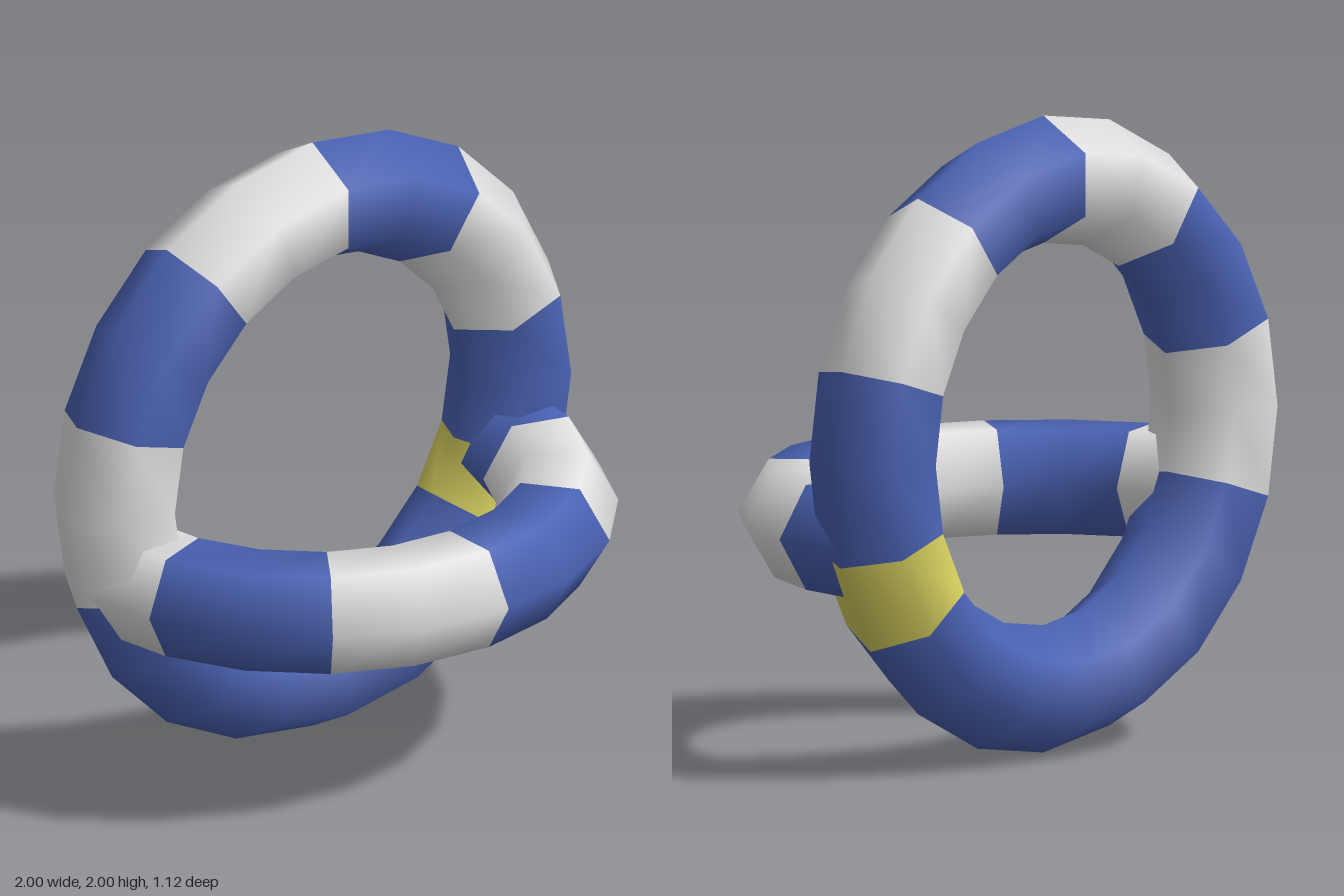
import * as THREE from 'three';

const blue = new THREE.MeshStandardMaterial({ name: 'blue', color: 0x4b63b5 });
const white = new THREE.MeshStandardMaterial({ name: 'white', color: 0xe2e2e2 });
const yellow = new THREE.MeshStandardMaterial({ name: 'yellow', color: 0xd9d260 });

const STEP = 18; // degrees per ring segment

// One coloured stretch of a hexagonal tube, from one angle to another
function band(name, from, to, material) {
  const arc = THREE.MathUtils.degToRad(to - from);
  const geometry = new THREE.TorusGeometry(0.8, 0.2, 6, (to - from) / STEP, arc);
  geometry.rotateZ(THREE.MathUtils.degToRad(from));
  const mesh = new THREE.Mesh(geometry, material);
  mesh.name = name;
  return mesh;
}

function ring(name, bands) {
  const group = new THREE.Group();
  group.name = name;
  bands.forEach(([from, to, material], i) =>
    group.add(band(`${name}Band${i + 1}`, from, to, material)));
  return group;
}

export function createModel() {
  const model = new THREE.Group();
  model.name = 'ringFloat';

  // Stripes shared by the upper part of both rings
  const stripes = [[18, 54, white], [54, 90, blue], [90, 126, white], [126, 162, blue]];

  // Upright full ring with a long plain base and a yellow marker
  const upright = ring('uprightRing', [
    ...stripes,
    [162, 198, white],
    [198, 324, blue],
    [324, 342, yellow],
    [342, 378, blue],
  ]);
  upright.position.set(0, 1, -0.388);

  // Slightly smaller half ring lying flat, its ends buried in the upright ring
  const half = ring('frontHalfRing', [[0, 18, blue], ...stripes, [162, 180, white]]);
  half.scale.setScalar(0.95);
  half.rotation.x = Math.PI / 2;
  half.position.set(0, 0.745, -0.388);

  model.add(upright, half);
  return model;
}
